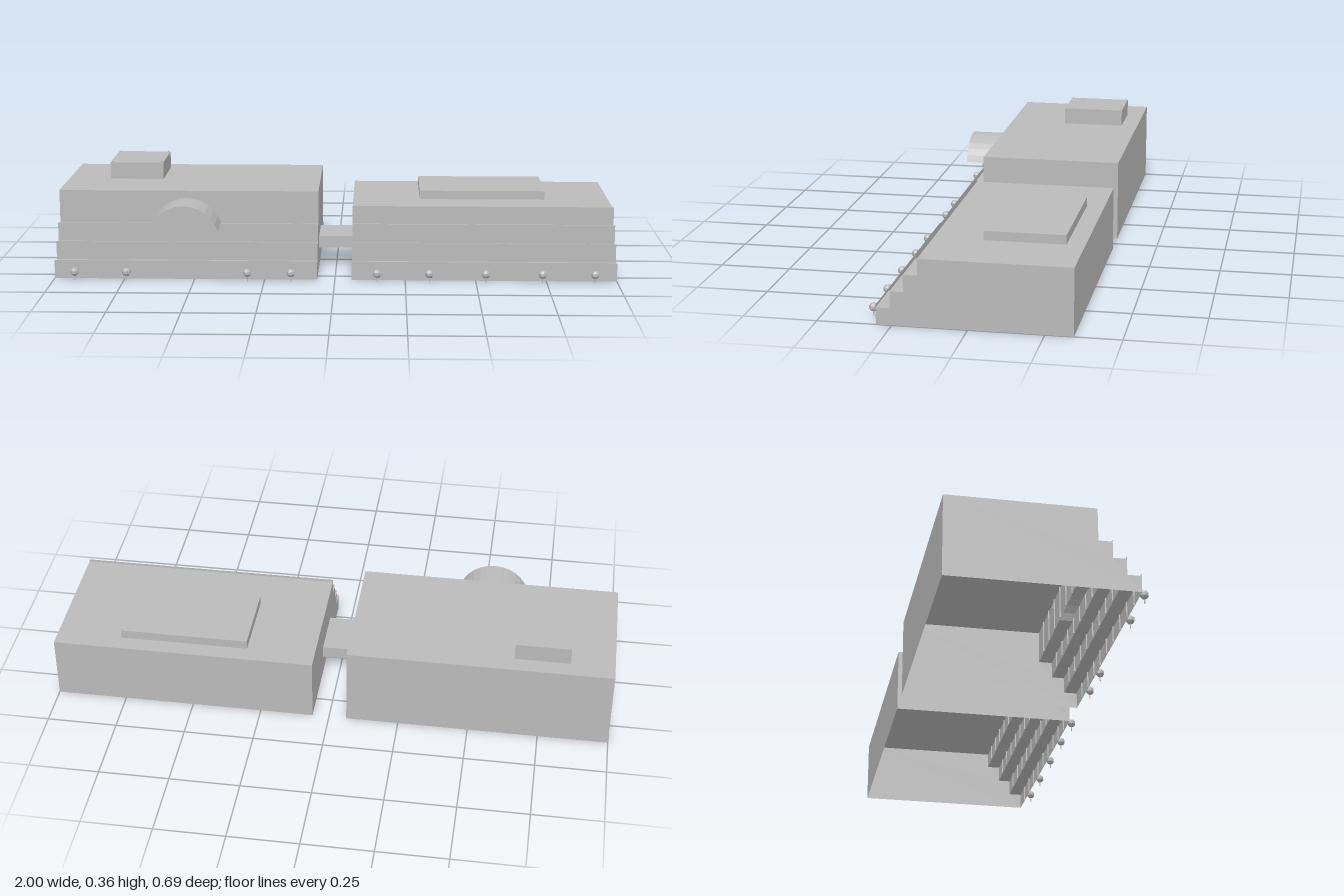
import * as THREE from 'three';

const concrete = new THREE.MeshStandardMaterial({ color: 0xbababa, side: THREE.DoubleSide, flatShading: true });
concrete.name = 'concrete grey';

const BACK = -0.344;
const STEP_Z = [0.302, 0.255, 0.21, 0.163];
const STEP_Y = [0.058, 0.1155, 0.174];
const LIP = 0.009;
const ARCH = { x: -0.539, half: 0.124, base: 0.174, rise: 0.091, front: 0.303 };

function add(parent, name, geometry, x = 0, y = 0, z = 0) {
  const mesh = new THREE.Mesh(geometry, concrete);
  mesh.name = name;
  mesh.position.set(x, y, z);
  parent.add(mesh);
  return mesh;
}

// box given by its limits
function block(parent, name, x0, x1, y0, y1, z0, z1) {
  return add(parent, name, new THREE.BoxGeometry(x1 - x0, y1 - y0, z1 - z0),
    (x0 + x1) / 2, (y0 + y1) / 2, (z0 + z1) / 2);
}

// upright sheet facing the front
function wall(parent, name, x0, x1, y0, y1, z) {
  return add(parent, name, new THREE.PlaneGeometry(x1 - x0, y1 - y0), (x0 + x1) / 2, (y0 + y1) / 2, z);
}

// level sheet facing up
function deck(parent, name, x0, x1, z0, z1, y) {
  const g = new THREE.PlaneGeometry(x1 - x0, z1 - z0).rotateX(-Math.PI / 2);
  return add(parent, name, g, (x0 + x1) / 2, y, (z0 + z1) / 2);
}

// hollow terraced building, open underneath
function building(name, x0, x1, top, roofLip, opening) {
  const group = new THREE.Group();
  group.name = name;
  const tops = [...STEP_Y, top];

  // stepped end walls
  const profile = new THREE.Shape();
  profile.moveTo(-BACK, 0);
  profile.lineTo(-STEP_Z[0], 0);
  tops.forEach((y, i) => {
    profile.lineTo(-STEP_Z[i], y);
    profile.lineTo(i < 3 ? -STEP_Z[i + 1] : -BACK, y);
  });
  for (const x of [x0, x1]) {
    add(group, 'endWall', new THREE.ShapeGeometry(profile).rotateY(Math.PI / 2), x);
  }
  wall(group, 'backWall', x0, x1, 0, top, BACK).rotation.y = Math.PI;
  deck(group, 'roof', x0, x1, BACK, STEP_Z[3], top);

  // front walls with raised lips, terraces and inner ribs
  tops.forEach((y, i) => {
    const bottom = i ? tops[i - 1] : 0;
    const lip = i < 3 ? LIP : roofLip;
    wall(group, 'frontWall', x0, x1, bottom, y + lip, STEP_Z[i]);
    if (i < 3) {
      const spans = i === 2 && opening ? [[x0, opening[0]], [opening[1], x1]] : [[x0, x1]];
      for (const [a, b] of spans) deck(group, 'terrace', a, b, STEP_Z[i + 1], STEP_Z[i], y);
    }
    for (let k = 1; k < 10; k++) {
      const x = x0 + (x1 - x0) * k / 10;
      block(group, 'rib', x - 0.002, x + 0.002, bottom, y, STEP_Z[i] - 0.005, STEP_Z[i] - 0.001);
    }
  });
  return group;
}

// vaulted bay with a closed front
function archBay() {
  const group = new THREE.Group();
  group.name = 'archBay';
  const r = (ARCH.half ** 2 + ARCH.rise ** 2) / (2 * ARCH.rise);
  const a = Math.asin(ARCH.half / r);
  const length = ARCH.front - STEP_Z[3];
  const cy = ARCH.base + ARCH.rise - r;

  const vault = new THREE.CylinderGeometry(r, r, length, 12, 1, true, -a, 2 * a);
  vault.rotateX(Math.PI / 2).rotateZ(Math.PI);
  add(group, 'vault', vault, ARCH.x, cy, STEP_Z[3] + length / 2);

  const face = new THREE.Shape();
  for (let i = 0; i <= 12; i++) {
    const t = -a + 2 * a * i / 12;
    const px = r * Math.sin(t), py = r * Math.cos(t);
    if (i) face.lineTo(px, py); else face.moveTo(px, py);
  }
  add(group, 'archFront', new THREE.ShapeGeometry(face), ARCH.x, cy, ARCH.front);
  return group;
}

function tree(x) {
  const group = new THREE.Group();
  group.name = 'tree';
  add(group, 'trunk', new THREE.CylinderGeometry(0.002, 0.002, 0.018, 6), 0, 0.009, 0);
  add(group, 'crown', new THREE.SphereGeometry(0.0155, 7, 5), 0, 0.031, 0);
  group.position.set(x, 0, 0.33);
  return group;
}

export function createModel() {
  const model = new THREE.Group();
  model.name = 'terracedBuildings';

  model.add(building('rightBuilding', -1, -0.063, 0.292, 0,
    [ARCH.x - ARCH.half, ARCH.x + ARCH.half]));
  model.add(building('leftBuilding', 0.06, 1, 0.23, LIP));
  model.add(archBay());

  // linking passage
  block(model, 'passage', -0.063, 0.06, 0.068, 0.112, -0.087, 0.095);

  // rooftop blocks, with small corner posts on the taller one
  block(model, 'tallRoofBlock', -0.845, -0.648, 0.292, 0.354, -0.282, -0.052);
  for (const x of [-0.838, -0.655]) for (const z of [-0.275, -0.059]) {
    block(model, 'cornerPost', x - 0.002, x + 0.002, 0.354, 0.358, z - 0.002, z + 0.002);
  }
  block(model, 'lowRoofBlock', 0.305, 0.766, 0.23, 0.262, -0.282, -0.006);

  for (const x of [-0.924, -0.74, -0.31, -0.155, 0.15, 0.335, 0.535, 0.735, 0.92]) model.add(tree(x));
  return model;
}
